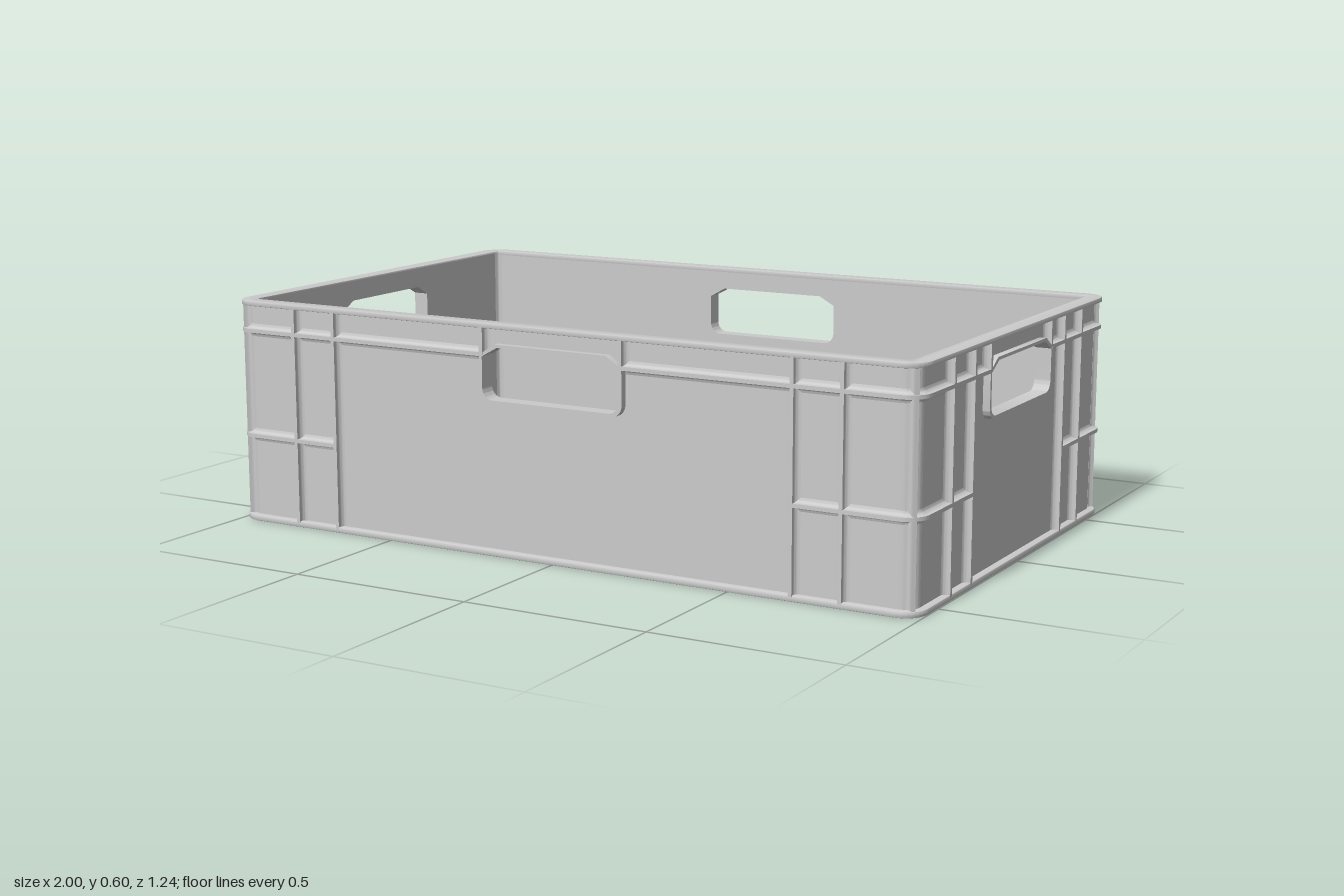
import * as THREE from 'three';
import { toCreasedNormals } from 'three/addons/utils/BufferGeometryUtils.js';

const HX = 1, HZ = 0.62, H = 0.6;   // outer half sizes and height
const R = 0.06;                     // outer corner radius
const WALL = 0.025, RIB = 0.02;     // wall thickness, rib depth
const material = new THREE.MeshStandardMaterial({ color: 0xcccccc, side: THREE.DoubleSide });

function add(parent, name, geometry) {
  const mesh = new THREE.Mesh(toCreasedNormals(geometry, 0.6), material);
  mesh.name = name;
  parent.add(mesh);
  return mesh;
}

function roundedRect(hx, hz, r, Type = THREE.Shape) {
  const s = new Type();
  s.moveTo(-hx + r, -hz);
  s.absarc(hx - r, -hz + r, r, -Math.PI / 2, 0);
  s.absarc(hx - r, hz - r, r, 0, Math.PI / 2);
  s.absarc(-hx + r, hz - r, r, Math.PI / 2, Math.PI);
  s.absarc(-hx + r, -hz + r, r, Math.PI, Math.PI * 1.5);
  s.closePath();
  return s;
}

// Horizontal slab with softened outer edges, from y0 to y1
function slab(shape, y0, y1, bevel) {
  const g = new THREE.ExtrudeGeometry(shape, {
    depth: y1 - y0 - 2 * bevel, bevelSize: bevel, bevelThickness: bevel,
    bevelOffset: -bevel, bevelSegments: 2, curveSegments: 8,
  });
  return g.rotateX(-Math.PI / 2).translate(0, y0 + bevel, 0);
}

// Filleted rib section: x across the rib, y outward from the wall
function ribProfile() {
  const base = 0.017, tip = 0.005, pts = [];
  for (let i = 0; i <= 4; i++) {
    const a = (i / 4) * Math.PI / 2;
    pts.push(new THREE.Vector2(-base + (base - tip) * Math.sin(a), (base - tip) * (1 - Math.cos(a))));
  }
  pts.push(new THREE.Vector2(-tip, RIB));
  return [...pts, ...pts.map(p => new THREE.Vector2(-p.x, p.y)).reverse()];
}

// Upright rib centred on the origin, pointing to +z
function ribGeometry(length) {
  const g = new THREE.ExtrudeGeometry(new THREE.Shape(ribProfile()), { depth: length, bevelEnabled: false });
  return g.rotateX(Math.PI / 2).translate(0, length / 2, 0);
}

// Hand hole with chamfered top corners and round bottom corners; grow widens it
function handleOutline(grow, Type = THREE.Shape) {
  const w = 0.2 + grow, y0 = 0.405 - grow, y1 = 0.54 + grow, r = 0.03;
  const s = new Type();
  s.moveTo(-w + r, y0);
  s.lineTo(w - r, y0);
  s.absarc(w - r, y0 + r, r, -Math.PI / 2, 0);
  s.lineTo(w, 0.515 + grow / 2);
  s.lineTo(w - 0.045, y1);
  s.lineTo(-w + 0.045, y1);
  s.lineTo(-w, 0.515 + grow / 2);
  s.absarc(-w + r, y0 + r, r, Math.PI, Math.PI * 1.5);
  s.closePath();
  return s;
}

// One side facing +z: half is its straight half length, d its outer distance
function createSide(half, d, ribs) {
  const side = new THREE.Group();
  const face = d - RIB;

  const panel = new THREE.Shape();
  panel.moveTo(-half, 0.01);
  panel.lineTo(half, 0.01);
  panel.lineTo(half, H - 0.005);
  panel.lineTo(-half, H - 0.005);
  panel.closePath();
  panel.holes.push(handleOutline(0, THREE.Path));
  add(side, 'wallPanel', new THREE.ExtrudeGeometry(panel, { depth: WALL, bevelEnabled: false })
    .translate(0, 0, face - WALL));

  const collar = handleOutline(0.008);
  collar.holes.push(handleOutline(0, THREE.Path));
  add(side, 'handleCollar', new THREE.ExtrudeGeometry(collar, { depth: RIB - 0.001, bevelEnabled: false })
    .translate(0, 0, face));

  const upright = (x, y0, y1) => add(side, 'uprightRib', ribGeometry(y1 - y0))
    .position.set(x, (y0 + y1) / 2, face);
  const level = (x0, x1, y) => add(side, 'levelRib', ribGeometry(x1 - x0).rotateZ(Math.PI / 2))
    .position.set((x0 + x1) / 2, y, face);

  for (const s of [-1, 1]) {
    for (const x of ribs) upright(s * x, 0.01, 0.592);
    upright(s * 0.203, 0.52, 0.592);
    for (const [start, y] of [[0.203, 0.52], [ribs[0], 0.235]]) {
      level(Math.min(s * start, s * half), Math.max(s * start, s * half), y);
    }
  }
  return side;
}

// Rounded corner wall about its own axis, with wrapping ribs and a diagonal fin
function createCorner() {
  const corner = new THREE.Group();
  const rOut = R - RIB, rIn = rOut - WALL;
  const section = [[rIn, 0.01], [rOut, 0.01], [rOut, H - 0.005], [rIn, H - 0.005], [rIn, 0.01]]
    .map(p => new THREE.Vector2(...p));
  add(corner, 'cornerWall', new THREE.LatheGeometry(section, 10, 0, Math.PI / 2));
  const wrap = ribProfile().map(p => new THREE.Vector2(rOut + p.y, p.x));
  for (const y of [0.235, 0.52]) {
    add(corner, 'cornerRib', new THREE.LatheGeometry(wrap, 10, 0, Math.PI / 2)).position.y = y;
  }
  add(corner, 'cornerFin', ribGeometry(0.582).translate(0, 0.301, rOut - 0.003).rotateY(Math.PI / 4));
  return corner;
}

export function createModel() {
  const crate = new THREE.Group();
  crate.name = 'crate';

  add(crate, 'floor', slab(roundedRect(HX, HZ, R), 0, 0.016, 0.004));

  // Top rim
  const rim = roundedRect(HX, HZ, R);
  rim.holes.push(roundedRect(HX - RIB - WALL, HZ - RIB - WALL, R - RIB - WALL, THREE.Path));
  add(crate, 'rim', slab(rim, 0.587, H, 0.002));

  // Four sides: front, left, back, right
  ['frontSide', 'leftSide', 'backSide', 'rightSide'].forEach((name, i) => {
    const long = i % 2 === 0;
    const side = long ? createSide(HX - R, HZ, [0.67, 0.8]) : createSide(HZ - R, HX, [0.3, 0.425]);
    side.name = name;
    side.rotation.y = i * Math.PI / 2;
    crate.add(side);
  });

  // Four corners
  [[1, 1], [1, -1], [-1, -1], [-1, 1]].forEach(([sx, sz], i) => {
    const corner = createCorner();
    corner.name = 'corner';
    corner.position.set(sx * (HX - R), 0, sz * (HZ - R));
    corner.rotation.y = i * Math.PI / 2;
    crate.add(corner);
  });
  return crate;
}
